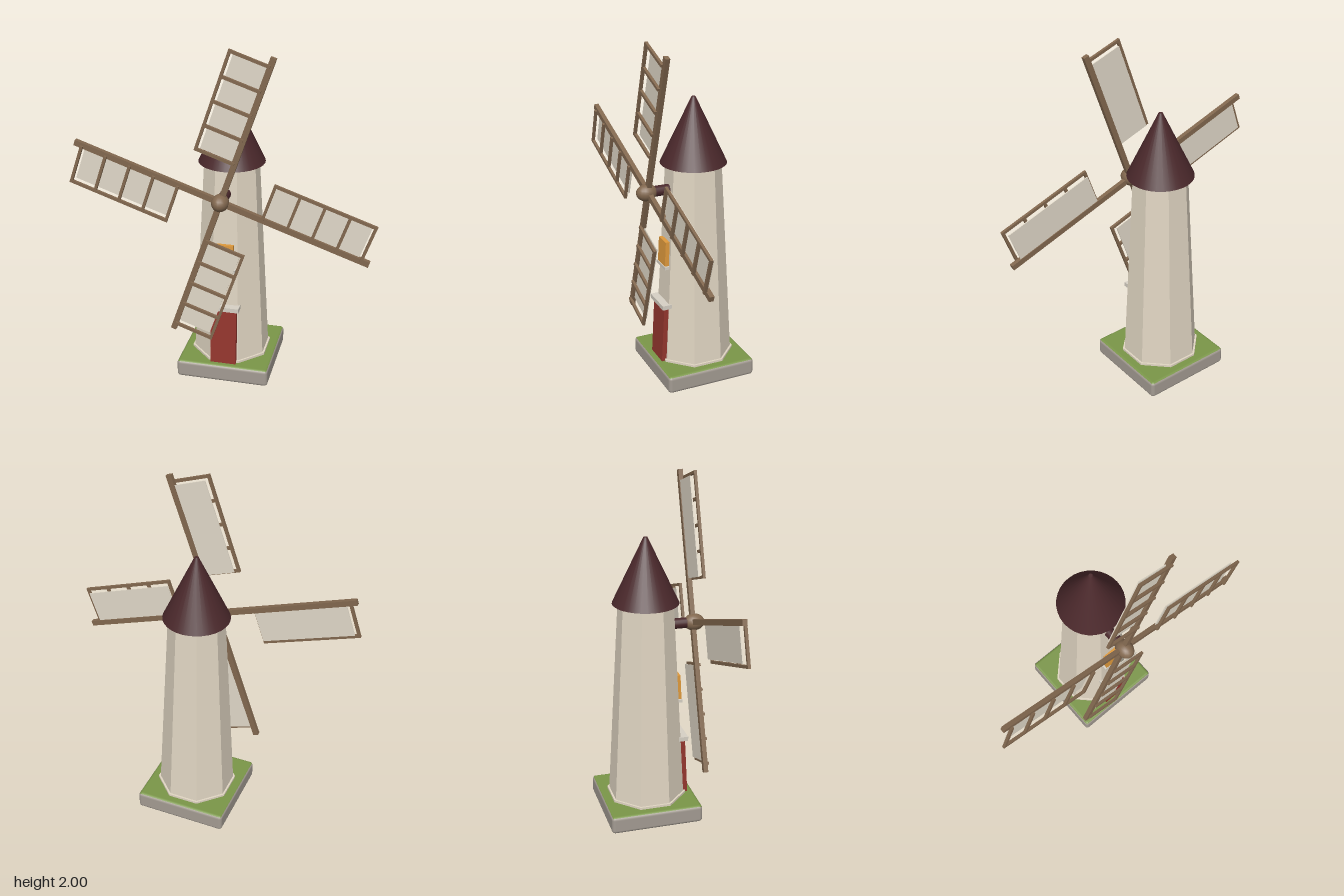
import * as THREE from 'three';
import { RoundedBoxGeometry } from 'three/addons/geometries/RoundedBoxGeometry.js';

const paint = (name, color, extra = {}) => {
  const m = new THREE.MeshStandardMaterial({ color, ...extra });
  m.name = name;
  return m;
};

export function createModel() {
  const wall = paint('plaster', 0xe0d5c2, { flatShading: true });
  const cloth = paint('sailcloth', 0xe0d8c8);
  const roof = paint('roof maroon', 0x4a282b);
  const wood = paint('wood', 0x82684f);
  const grass = paint('grass', 0x7a9648);
  const stone = paint('stone', 0xa39b92);
  const red = paint('door red', 0x94362e);
  const amber = paint('window amber', 0xe09a3c);
  const trim = paint('pale trim', 0xd6d0c4);

  const model = new THREE.Group();
  model.name = 'windmill';
  const add = (parent, name, geo, mat, x = 0, y = 0, z = 0) => {
    const m = new THREE.Mesh(geo, mat);
    m.name = name;
    m.position.set(x, y, z);
    parent.add(m);
    return m;
  };
  const box = (parent, name, mat, w, h, d, x, y, z) =>
    add(parent, name, new THREE.BoxGeometry(w, h, d), mat, x, y, z);

  const CZ = -0.037; // tower axis

  // Stone base with a grassy top face
  add(model, 'base', new RoundedBoxGeometry(0.54, 0.105, 0.54, 3, 0.02),
    [stone, stone, grass, stone, stone, stone], 0, 0.0525, CZ);

  // Octagonal tower with a flat side to the front; radii given across flats
  const octagon = (name, top, bottom, y0, y1) => {
    const k = 1 / Math.cos(Math.PI / 8);
    const geo = new THREE.CylinderGeometry(top * k, bottom * k, y1 - y0, 8);
    geo.rotateY(Math.PI / 8);
    add(model, name, geo, wall, 0, (y0 + y1) / 2, CZ);
  };
  octagon('towerFoot', 0.216, 0.216, 0.1, 0.118);
  octagon('tower', 0.145, 0.206, 0.1, 1.3);

  // Conical cap with a slightly blunt tip
  add(model, 'cap', new THREE.CylinderGeometry(0.011, 0.188, 0.375, 32), roof, 0, 1.4725, CZ);

  // Door and window lean with the wall
  const lean = -0.052;
  box(model, 'door', red, 0.15, 0.345, 0.05, 0, 0.275, 0.163).rotation.x = lean;
  box(model, 'doorLintel', trim, 0.18, 0.026, 0.06, 0, 0.458, 0.164);
  box(model, 'window', amber, 0.1, 0.15, 0.04, 0, 0.77, 0.139).rotation.x = lean;
  box(model, 'windowSill', trim, 0.125, 0.017, 0.05, 0, 0.691, 0.141);

  // Sail wheel: axle, hub and four lattice sails
  const wheel = new THREE.Group();
  wheel.name = 'sailWheel';
  wheel.position.set(0, 1.145, 0);
  model.add(wheel);
  const axle = new THREE.CylinderGeometry(0.03, 0.03, 0.24, 16).rotateX(Math.PI / 2);
  add(wheel, 'axle', axle, roof, 0, 0, 0.11);
  add(wheel, 'hub', new THREE.SphereGeometry(0.048, 16, 12).scale(1, 1, 1.27), wood, 0, 0, 0.246);

  for (let i = 0; i < 4; i++) {
    const sail = new THREE.Group();
    sail.name = 'sail' + (i + 1);
    sail.rotation.z = -0.33 + i * Math.PI / 2;
    wheel.add(sail);
    box(sail, 'stock', wood, 0.032, 0.86, 0.026, 0, 0.43, 0.239);
    box(sail, 'outerRail', wood, 0.016, 0.585, 0.016, -0.22, 0.529, 0.257);
    for (let r = 0; r < 5; r++)
      box(sail, 'rung', wood, 0.228, 0.016, 0.016, -0.114, 0.245 + r * 0.142, 0.257);
    box(sail, 'cloth', cloth, 0.19, 0.55, 0.006, -0.107, 0.523, 0.234);
  }
  return model;
}
